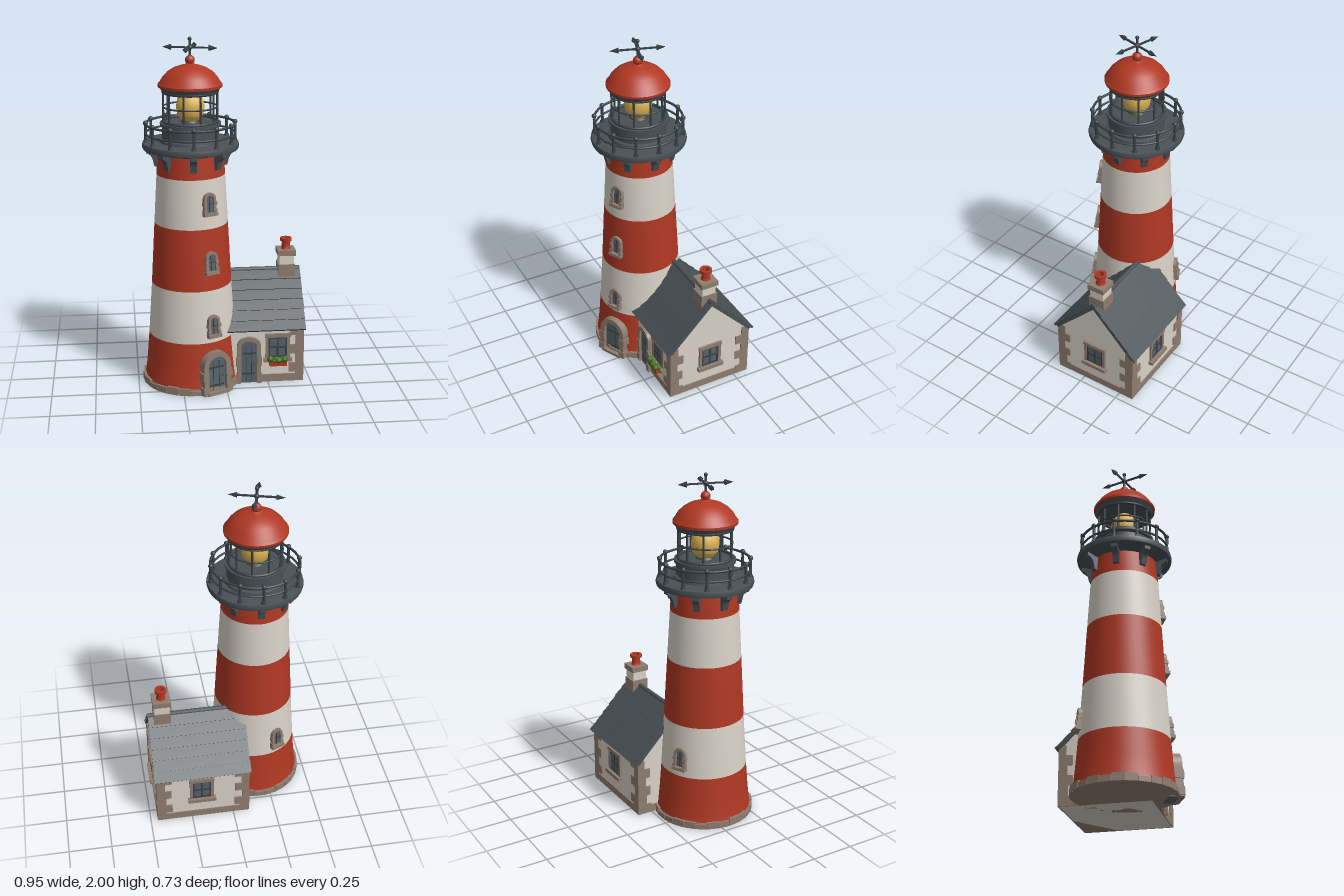
import * as THREE from 'three';
import { toCreasedNormals } from 'three/addons/utils/BufferGeometryUtils.js';

const material = (name, color) => Object.assign(new THREE.MeshStandardMaterial({ color }), { name });
const red = material('red paint', 0xb03823);
const white = material('white plaster', 0xd9d2c8);
const stone = material('stone', 0x8f7d70);
const slate = material('slate', 0x495155);
const iron = material('dark iron', 0x3a4246);
const wood = material('grey wood', 0x56626a);
const gold = material('lamp gold', 0xdcb252);
const green = material('leaf green', 0x3f6d20);

const TX = -0.183, TZ = 0.048, DOOR_ANGLE = 0.445;

let seed = 7;
const jitter = (a) => {
  seed = (seed * 16807) % 2147483647;
  return (seed / 2147483647 - 0.5) * 2 * a;
};

function add(parent, name, geometry, mat, x = 0, y = 0, z = 0) {
  const mesh = new THREE.Mesh(geometry, mat);
  mesh.name = name;
  mesh.position.set(x, y, z);
  parent.add(mesh);
  return mesh;
}
function group(parent, name, x = 0, y = 0, z = 0) {
  const g = new THREE.Group();
  g.name = name;
  g.position.set(x, y, z);
  g.rotation.order = 'YXZ';
  parent.add(g);
  return g;
}
const box = (w, h, d) => new THREE.BoxGeometry(w, h, d);
const cyl = (r1, r2, h, n = 32) => new THREE.CylinderGeometry(r1, r2, h, n);
const ball = (r) => new THREE.SphereGeometry(r, 16, 12);
const lathe = (pts, n = 48) =>
  toCreasedNormals(new THREE.LatheGeometry(pts.map((p) => new THREE.Vector2(...p)), n), 0.6);
const extrude = (shape, depth) =>
  new THREE.ExtrudeGeometry(shape, { depth, bevelEnabled: false, curveSegments: 10 });
function ring(parent, name, r, tube, y, mat) {
  add(parent, name, new THREE.TorusGeometry(r, tube, 8, 48), mat, 0, y, 0).rotation.x = Math.PI / 2;
}

// Arched opening facing +z: stone surround of thickness t around a recessed panel
function archedOpening(parent, name, w, h, rise, t, depth, recess, panelMat) {
  const frame = new THREE.Shape();
  frame.moveTo(w / 2, 0).lineTo(w / 2 + t, 0).lineTo(w / 2 + t, h - rise);
  frame.absellipse(0, h - rise, w / 2 + t, rise + t, 0, Math.PI);
  frame.lineTo(-w / 2 - t, 0).lineTo(-w / 2, 0).lineTo(-w / 2, h - rise);
  frame.absellipse(0, h - rise, w / 2, rise, Math.PI, 0, true);
  frame.lineTo(w / 2, 0);
  add(parent, name + 'Surround', extrude(frame, depth), stone, 0, 0, -depth);
  const panel = new THREE.Shape();
  panel.moveTo(-w / 2, 0).lineTo(w / 2, 0).lineTo(w / 2, h - rise);
  panel.absellipse(0, h - rise, w / 2, rise, 0, Math.PI);
  add(parent, name + 'Panel', extrude(panel, depth - recess), panelMat, 0, 0, -depth);
  // Uneven jamb stones
  for (const s of [-1, 1]) for (let i = 0; i < 2; i++)
    add(parent, name + 'JambStone', box(t * 1.25, h * 0.2, depth), stone,
      s * (w / 2 + t * 0.65), h * (0.12 + 0.4 * i), -depth / 2 + 0.004);
}

function doorDetails(g, w, h, z) {
  for (const x of [-w / 6, w / 6]) add(g, 'plankGap', box(0.003, h * 0.85, 0.004), iron, x, h * 0.45, z);
  for (const y of [0.22, 0.7]) add(g, 'hinge', box(w * 0.85, 0.01, 0.006), iron, 0, h * y, z);
  add(g, 'doorKnob', ball(0.006), iron, w * 0.34, h * 0.46, z + 0.004);
}

function towerWindow(tower, angle, y, r) {
  const g = group(tower, 'towerWindow', Math.sin(angle) * r, y, Math.cos(angle) * r);
  g.rotation.set(-0.065, angle, 0);
  archedOpening(g, 'window', 0.045, 0.1, 0.022, 0.015, 0.05, 0.012, wood);
  add(g, 'windowBar', box(0.005, 0.09, 0.005), iron, 0, 0.045, -0.012);
  add(g, 'windowBar', box(0.045, 0.005, 0.005), iron, 0, 0.05, -0.012);
  add(g, 'windowSill', box(0.085, 0.018, 0.06), stone, 0, -0.008, -0.02);
}

function cottageWindow(parent, x, y, z, angle) {
  const g = group(parent, 'cottageWindow', x, y, z);
  g.rotation.y = angle;
  add(g, 'glass', box(0.11, 0.125, 0.008), wood);
  for (const s of [-1, 0, 1]) {
    add(g, 'windowBar', box(0.01, 0.125, 0.009), iron, s * 0.05, 0, 0.004);
    add(g, 'windowBar', box(0.11, 0.01, 0.009), iron, 0, s * 0.0575, 0.004);
  }
  for (const s of [-1, 1]) add(g, 'jamb', box(0.017, 0.13, 0.02), stone, s * 0.063, 0, 0.002);
  add(g, 'lintel', box(0.15, 0.022, 0.026), stone, 0, 0.073, 0.002);
  add(g, 'sill', box(0.165, 0.022, 0.04), stone, 0, -0.074, 0.008);
}

function buildTower(root) {
  const tower = group(root, 'tower', TX, 0, TZ);
  // Striped shaft
  const bands = [
    [red, [[0.278, 0.02], [0.27, 0.06], [0.26, 0.16], [0.249, 0.3]]],
    [white, [[0.249, 0.3], [0.229, 0.605]]],
    [red, [[0.229, 0.605], [0.209, 0.96]]],
    [white, [[0.209, 0.96], [0.193, 1.24]]],
    [red, [[0.193, 1.24], [0.184, 1.39]]],
  ];
  for (const [mat, pts] of bands) add(tower, 'shaftBand', lathe(pts), mat);
  // Stone footing
  add(tower, 'footing', cyl(0.28, 0.284, 0.035, 48), stone, 0, 0.0175, 0);
  for (let i = 0; i < 26; i++) {
    const a = (i / 26) * Math.PI * 2, h = 0.036 + jitter(0.01);
    add(tower, 'footingStone', box(0.067, h, 0.04), stone, Math.sin(a) * 0.267, h / 2, Math.cos(a) * 0.267)
      .rotation.y = a;
  }
  // Door and windows
  const door = group(tower, 'towerDoor', Math.sin(DOOR_ANGLE) * 0.3, 0, Math.cos(DOOR_ANGLE) * 0.3);
  door.rotation.set(-0.04, DOOR_ANGLE, 0);
  archedOpening(door, 'door', 0.115, 0.225, 0.055, 0.03, 0.08, 0.02, wood);
  doorDetails(door, 0.115, 0.225, -0.019);
  add(door, 'doorStep', box(0.14, 0.018, 0.06), stone, 0, 0.009, -0.02);
  for (const [y, r] of [[0.35, 0.262], [0.72, 0.238], [1.055, 0.22]]) towerWindow(tower, DOOR_ANGLE, y, r);
  towerWindow(tower, Math.PI + DOOR_ANGLE, 0.36, 0.262);

  // Gallery with brackets and railing
  add(tower, 'galleryFloor', lathe([[0, 1.365], [0.2, 1.365], [0.245, 1.38], [0.268, 1.385], [0.272, 1.4],
    [0.268, 1.418], [0.25, 1.422], [0, 1.422]]), slate);
  const bracket = new THREE.Shape();
  bracket.moveTo(0.17, 1.28).lineTo(0.205, 1.285).lineTo(0.213, 1.32);
  bracket.quadraticCurveTo(0.22, 1.35, 0.25, 1.36).lineTo(0.25, 1.385).lineTo(0.17, 1.385);
  for (let i = 0; i < 8; i++) {
    const holder = group(tower, 'galleryBracket');
    holder.rotation.y = (i / 8) * Math.PI * 2;
    add(holder, 'bracket', extrude(bracket, 0.036), slate, 0, 0, -0.018);
  }
  for (let i = 0; i < 12; i++) {
    const a = (i / 12) * Math.PI * 2, x = Math.sin(a) * 0.249, z = Math.cos(a) * 0.249;
    add(tower, 'railPost', cyl(0.008, 0.009, 0.11, 10), iron, x, 1.47, z);
    add(tower, 'railFoot', cyl(0.012, 0.015, 0.015, 10), iron, x, 1.427, z);
    add(tower, 'railKnob', ball(0.014), iron, x, 1.527, z);
  }
  ring(tower, 'topRail', 0.249, 0.007, 1.522, iron);
  ring(tower, 'middleRail', 0.249, 0.006, 1.468, iron);

  // Lantern room
  add(tower, 'lanternBase', lathe([[0.175, 1.42], [0.172, 1.435], [0.158, 1.44], [0.158, 1.505],
    [0.17, 1.512], [0.17, 1.53], [0, 1.53]]), slate);
  for (let i = 0; i < 10; i++) {
    const a = ((i + 0.5) / 10) * Math.PI * 2;
    add(tower, 'lanternBar', cyl(0.006, 0.006, 0.19, 8), iron, Math.sin(a) * 0.15, 1.62, Math.cos(a) * 0.15);
  }
  for (const [y, t] of [[1.535, 0.009], [1.617, 0.005], [1.7, 0.009]]) ring(tower, 'lanternRing', 0.15, t, y, iron);
  add(tower, 'lampStand', cyl(0.045, 0.055, 0.015), iron, 0, 1.535, 0);
  add(tower, 'lamp', lathe([[0, 1.535], [0.045, 1.537], [0.072, 1.57], [0.08, 1.615], [0.072, 1.66],
    [0.045, 1.695], [0, 1.702]], 16), gold);

  // Domed roof
  add(tower, 'roofSoffit', cyl(0.172, 0.158, 0.025, 48), slate, 0, 1.717, 0);
  add(tower, 'dome', lathe([[0.15, 1.728], [0.178, 1.728], [0.179, 1.742], [0.168, 1.755], [0.152, 1.782],
    [0.125, 1.81], [0.088, 1.833], [0.045, 1.847], [0.03, 1.85], [0.02, 1.858], [0, 1.862]], 40), red);
  add(tower, 'roofBall', ball(0.027), red, 0, 1.874, 0);

  // Weather vane
  const vane = group(tower, 'weatherVane', 0, 1.942, 0);
  vane.rotation.y = -0.29;
  add(vane, 'vaneRod', cyl(0.006, 0.008, 0.1, 10), iron);
  add(vane, 'vaneHub', ball(0.015), iron);
  add(vane, 'vaneTip', ball(0.011), iron, 0, 0.047, 0);
  for (let i = 0; i < 4; i++) {
    const arm = group(vane, 'vaneArm');
    arm.rotation.y = (i * Math.PI) / 2;
    add(arm, 'armRod', box(0.12, 0.009, 0.009), iron, 0.06, 0, 0);
    const head = add(arm, 'arrowHead', new THREE.ConeGeometry(0.017, 0.05, 4), iron, 0.13, 0, 0);
    head.rotation.z = -Math.PI / 2;
  }
}

function buildCottage(root) {
  const cottage = group(root, 'cottage');
  const L = -0.09, R = 0.452, F = 0.175, B = -0.335, RIDGE = -0.08;
  // Gabled walls, extruded along x
  const gable = new THREE.Shape();
  gable.moveTo(-F, 0).lineTo(-B, 0).lineTo(-B, 0.33).lineTo(-RIDGE, 0.592).lineTo(-F, 0.33);
  add(cottage, 'walls', extrude(gable, R - L), white, L, 0, 0).rotation.y = Math.PI / 2;
  // Stone base and corner stones
  add(cottage, 'stoneBase', box(R - L + 0.012, 0.045, F - B + 0.012), stone, (L + R) / 2, 0.0225, (F + B) / 2);
  for (const [x, sx] of [[L, -1], [R, 1]]) for (const [z, sz] of [[F, 1], [B, -1]])
    for (let i = 0; i < 6; i++) {
      const a = (i % 2 ? 0.085 : 0.05) + jitter(0.008), b = (i % 2 ? 0.05 : 0.085) + jitter(0.008);
      add(cottage, 'cornerStone', box(a, 0.057, b), stone,
        x + sx * 0.007 - (sx * a) / 2, 0.029 + i * 0.057, z + sz * 0.007 - (sz * b) / 2);
    }
  // Slate roof: overlapping courses on both slopes
  for (const turn of [0, Math.PI]) {
    const slope = group(cottage, 'roofSlope', 0.183, 0.604, RIDGE);
    slope.rotation.set(0.803, turn, 0);
    add(slope, 'roofDeck', box(0.565, 0.016, 0.38), slate, 0, -0.004, 0.192);
    for (let i = 0; i < 6; i++)
      add(slope, 'slateCourse', box(0.57 + jitter(0.004), 0.012, 0.074), slate, 0, 0.007, 0.034 + i * 0.065)
        .rotation.x = -0.09 + jitter(0.02);
  }
  add(cottage, 'roofRidge', cyl(0.014, 0.014, 0.57, 10), slate, 0.183, 0.608, RIDGE).rotation.z = Math.PI / 2;
  // Chimney
  const chimney = group(cottage, 'chimney', 0.385, 0, RIDGE);
  add(chimney, 'chimneyFoot', box(0.098, 0.12, 0.1), stone, 0, 0.585, 0);
  add(chimney, 'chimneyStack', box(0.086, 0.17, 0.086), white, 0, 0.62, 0);
  add(chimney, 'chimneyCap', box(0.106, 0.032, 0.106), stone, 0, 0.716, 0);
  add(chimney, 'chimneyPot', lathe([[0.03, 0.73], [0.024, 0.745], [0.024, 0.775], [0.035, 0.78],
    [0.035, 0.798], [0.02, 0.798], [0.018, 0.76], [0, 0.76]], 12), red);
  // Door
  const door = group(cottage, 'cottageDoor', 0.137, 0, F + 0.022);
  archedOpening(door, 'door', 0.092, 0.262, 0.03, 0.023, 0.04, 0.014, wood);
  doorDetails(door, 0.092, 0.262, -0.013);
  // Windows
  cottageWindow(cottage, 0.305, 0.215, F, 0);
  cottageWindow(cottage, R, 0.215, RIDGE, Math.PI / 2);
  cottageWindow(cottage, 0.19, 0.215, B, Math.PI);
  // Flower box
  add(cottage, 'flowerBox', box(0.1, 0.032, 0.036), red, 0.305, 0.128, F + 0.028);
  for (let i = 0; i < 9; i++)
    add(cottage, 'leaves', new THREE.IcosahedronGeometry(0.017 + jitter(0.003), 1), green,
      0.258 + i * 0.0118, 0.15 + jitter(0.007), F + 0.034 + jitter(0.01));
}

export function createModel() {
  const root = new THREE.Group();
  root.name = 'lighthouse';
  buildTower(root);
  buildCottage(root);
  return root;
}
